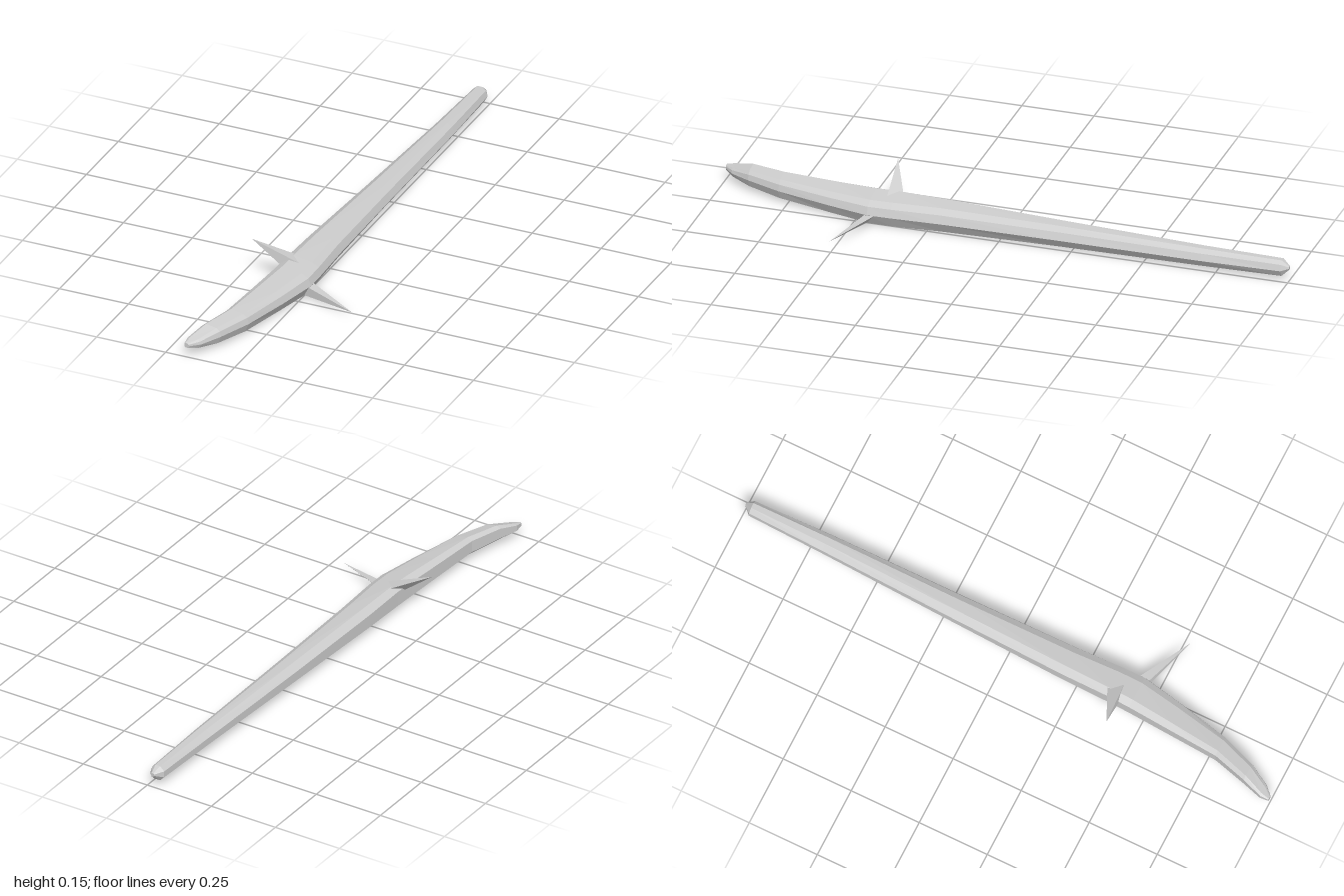
import * as THREE from 'three';
import { ConvexGeometry } from 'three/addons/geometries/ConvexGeometry.js';

// Unit cross-sections, counter-clockwise seen from the front
const ROUND = [[1, 0.42], [0.88, 0.8], [0.65, 1], [0.3, 1], [0, 0.72], [0, 0.3], [0.3, 0], [0.75, 0]];
const SKEWED = [[1, 0.42], [0.93, 0.72], [0.74, 0.88], [0.2, 1], [0, 0.86], [0, 0.28], [0.2, 0.07], [0.83, 0]];

// Stations: z, left x, right x, bottom y, top y, blend from round to skewed
const STATIONS = [
  [-1.0, -0.027, -0.013, 0.04, 0.052, 0],
  [-0.975, -0.05, 0.003, 0.017, 0.071, 0],
  [-0.7, -0.06, 0.01, 0.014, 0.074, 0],
  [-0.2, -0.083, 0.012, 0.009, 0.082, 0.3],
  [0.2, -0.1, 0.016, 0.003, 0.09, 0.7],
  [0.37, -0.103, 0.022, 0.0, 0.092, 1],
  [0.45, -0.106, 0.022, 0.0, 0.09, 1],
  [0.6, -0.117, -0.008, 0.006, 0.087, 1],
  [0.78, -0.13, -0.05, 0.012, 0.085, 1],
  [0.9, -0.163, -0.095, 0.018, 0.08, 1],
  [0.97, -0.184, -0.135, 0.026, 0.06, 1],
  [1.0, -0.182, -0.165, 0.034, 0.052, 1],
];

function loft(stations) {
  const rings = stations.map(([z, x0, x1, y0, y1, t]) => ROUND.map(([u, v], i) => {
    const a = THREE.MathUtils.lerp(u, SKEWED[i][0], t);
    const b = THREE.MathUtils.lerp(v, SKEWED[i][1], t);
    return [x0 + (x1 - x0) * a, y0 + (y1 - y0) * b, z];
  }));
  const pos = [];
  const tri = (...corners) => corners.forEach((p) => pos.push(...p));
  const n = ROUND.length;
  const first = rings[0];
  const last = rings[rings.length - 1];
  for (let i = 0; i < n; i++) {
    const j = (i + 1) % n;
    for (let k = 0; k < rings.length - 1; k++) {
      const a = rings[k], b = rings[k + 1];
      tri(a[i], a[j], b[j]);
      tri(a[i], b[j], b[i]);
    }
    // End caps
    if (i > 0 && i < n - 1) {
      tri(first[0], first[j], first[i]);
      tri(last[0], last[i], last[j]);
    }
  }
  const geometry = new THREE.BufferGeometry();
  geometry.setAttribute('position', new THREE.Float32BufferAttribute(pos, 3));
  geometry.computeVertexNormals();
  return geometry;
}

const spike = (...points) => new ConvexGeometry(points.map((p) => new THREE.Vector3(...p)));

export function createModel() {
  const group = new THREE.Group();
  group.name = 'thornedBranch';
  const material = new THREE.MeshStandardMaterial({ color: 0xcccccc, flatShading: true });
  const add = (name, geometry) => {
    const mesh = new THREE.Mesh(geometry, material);
    mesh.name = name;
    group.add(mesh);
  };

  // Long tapering shaft with a bent tip
  add('branch', loft(STATIONS));

  // Thorns: tip first, then the base sunk into the branch
  add('rightThorn', spike([-0.207, 0.147, 0.417], [-0.075, 0.088, 0.355], [-0.03, 0.08, 0.4], [-0.095, 0.06, 0.41]));
  add('leftThorn', spike([0.205, 0.015, 0.52], [0.018, 0.038, 0.425], [0.018, 0.036, 0.46], [0.0, 0.002, 0.455]));
  return group;
}
